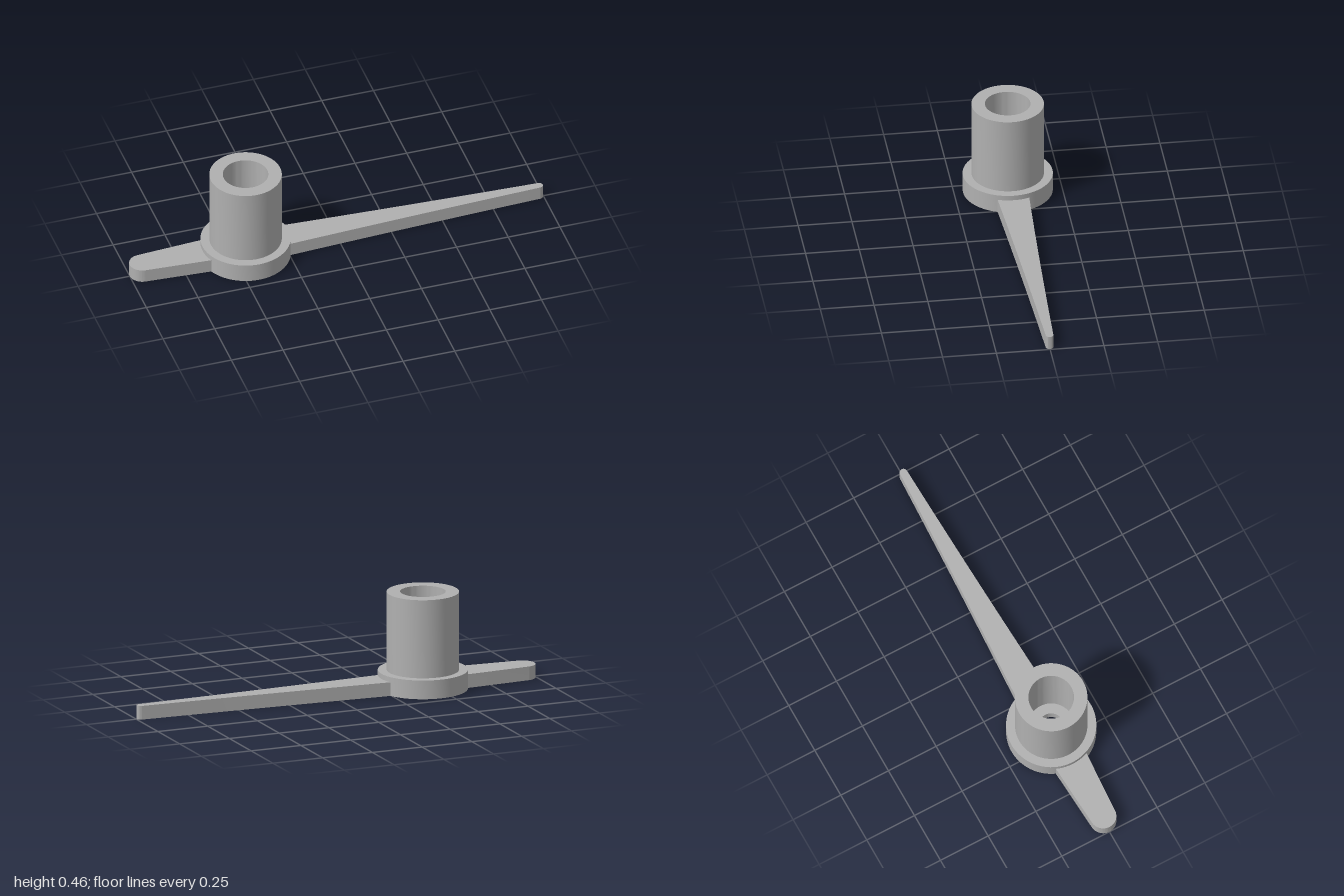
import * as THREE from 'three';
import { toCreasedNormals } from 'three/addons/utils/BufferGeometryUtils.js';

const HUB_X = -0.44;
const ARM_HEIGHT = 0.065;

export function createModel() {
  const model = new THREE.Group();
  model.name = 'pointerHand';
  const grey = new THREE.MeshStandardMaterial({ color: 0xb0b0b0 });
  grey.name = 'grey';

  const add = (name, geometry) => {
    const mesh = new THREE.Mesh(toCreasedNormals(geometry, 0.5), grey);
    mesh.name = name;
    model.add(mesh);
    return mesh;
  };

  // Hub: flange and barrel, bored from both ends with a narrow hole between
  const profile = [
    [0.105, 0], [0.208, 0], [0.208, 0.089], [0.167, 0.089], [0.167, 0.46],
    [0.105, 0.46], [0.105, 0.089], [0.056, 0.089], [0.056, 0.04], [0.105, 0.04], [0.105, 0],
  ].map(([r, y]) => new THREE.Vector2(r, y));
  add('hub', new THREE.LatheGeometry(profile, 72)).position.x = HUB_X;

  const extrudeArm = (shape) =>
    new THREE.ExtrudeGeometry(shape, { depth: ARM_HEIGHT, bevelEnabled: false, curveSegments: 16 })
      .rotateX(-Math.PI / 2);

  // Long tapering arm with a small rounded tip
  const long = new THREE.Shape();
  long.moveTo(HUB_X + 0.15, -0.076);
  long.quadraticCurveTo(0.345, -0.041, 0.979, -0.018);
  long.absarc(0.979, 0, 0.018, -Math.PI / 2, Math.PI / 2, false);
  long.quadraticCurveTo(0.345, 0.041, HUB_X + 0.15, 0.076);
  long.closePath();
  add('longArm', extrudeArm(long));

  // Short wide tail with a round end
  const tail = new THREE.Shape();
  tail.moveTo(HUB_X - 0.15, 0.083);
  tail.lineTo(-0.942, 0.061);
  tail.absarc(-0.939, 0, 0.061, Math.PI / 2, Math.PI * 1.5, false);
  tail.lineTo(HUB_X - 0.15, -0.083);
  tail.closePath();
  add('tail', extrudeArm(tail));

  return model;
}
